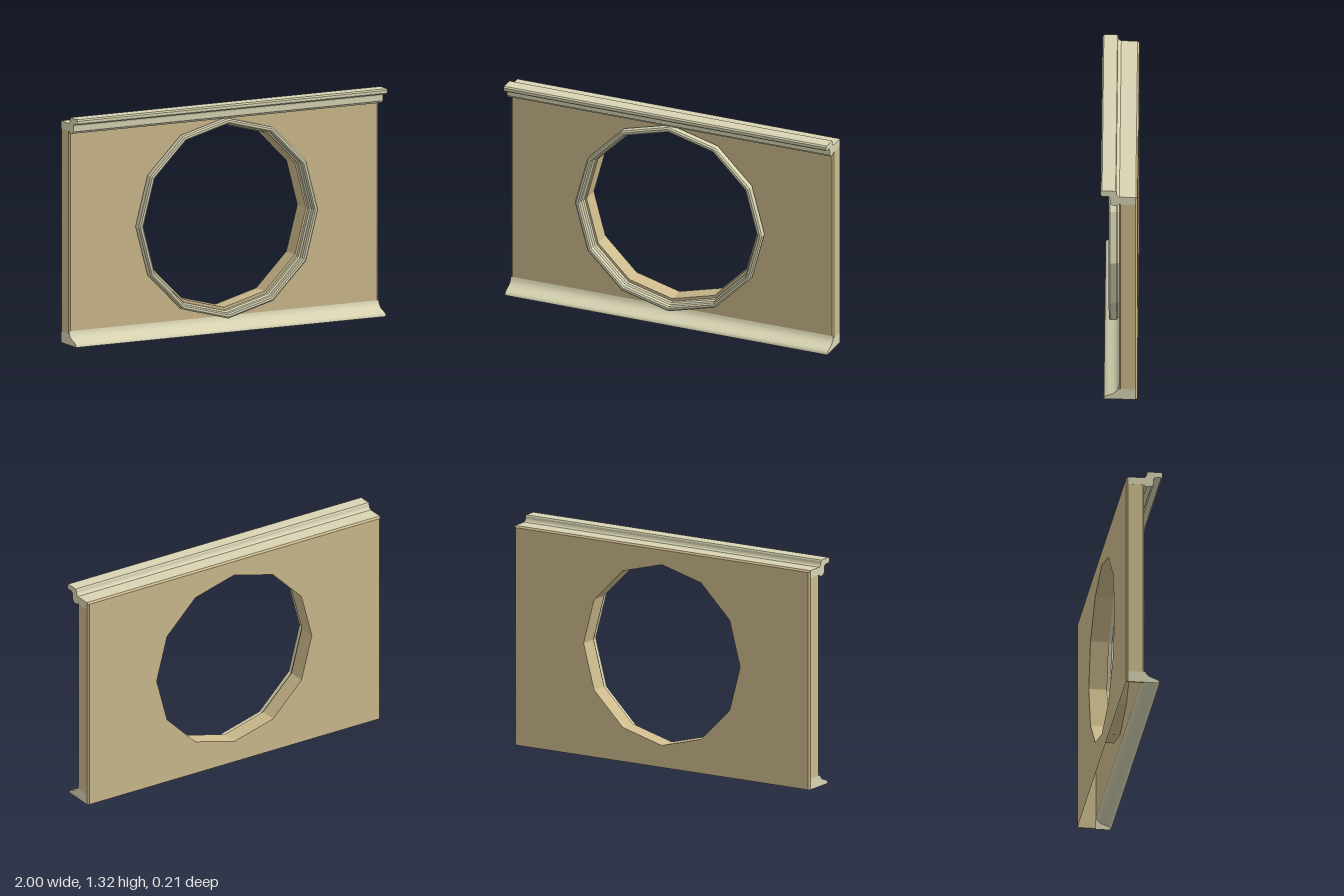
import * as THREE from 'three';

const tan = new THREE.MeshStandardMaterial({ color: 0xcdbb8d, side: THREE.DoubleSide, name: 'tanPlaster' });
const trim = new THREE.MeshStandardMaterial({ color: 0xd8d4b3, side: THREE.DoubleSide, name: 'creamTrim' });
const trimFlat = trim; // faceted parts get unshared vertices instead

const CENTER_Y = 0.655;
const BACK = -0.105;

const toShape = (pts) => new THREE.Shape(pts.map(([x, y]) => new THREE.Vector2(x, y)));

function add(group, name, geometry, material) {
  const mesh = new THREE.Mesh(geometry, material);
  mesh.name = name;
  group.add(mesh);
  return mesh;
}

// Extrudes a (z, y) profile across the whole width
function alongX(pts, width) {
  const g = new THREE.ExtrudeGeometry(toShape(pts), { depth: width, bevelEnabled: false });
  return g.translate(0, 0, -width / 2).rotateY(-Math.PI / 2);
}

// Flat wall face with a twelve-sided opening
function wallFace(y0, y1, radius) {
  const s = toShape([[-0.99, y0], [0.99, y0], [0.99, y1], [-0.99, y1]]);
  const hole = [];
  for (let i = 0; i < 12; i++) {
    const a = (i * Math.PI) / 6;
    hole.push(new THREE.Vector2(radius * Math.cos(a), CENTER_Y + 0.004 + radius * Math.sin(a)));
  }
  s.holes.push(new THREE.Path(hole));
  return new THREE.ShapeGeometry(s);
}

export function createModel() {
  const model = new THREE.Group();
  model.name = 'wallWithRoundOpening';

  // Hollow wall: front face, back face and the lining of the opening
  add(model, 'wallFront', wallFace(0.06, 1.245, 0.53), tan);
  add(model, 'wallBack', wallFace(0, 1.275, 0.53).rotateY(Math.PI).translate(0, 0, BACK), tan);
  const lining = new THREE.CylinderGeometry(0.53, 0.53, -BACK, 12, 1, true).toNonIndexed();
  lining.computeVertexNormals();
  lining.rotateX(Math.PI / 2).translate(0, CENTER_Y + 0.004, BACK / 2);
  add(model, 'openingLining', lining, tan);

  // Chamfered wall ends
  for (const s of [-1, 1]) {
    const pts = [[0.99, -BACK], [0.999, 0.095], [0.999, 0.008], [0.99, 0]].map(([x, y]) => [s * x, y]);
    const g = new THREE.ExtrudeGeometry(toShape(pts), { depth: 1.275, bevelEnabled: false });
    add(model, s > 0 ? 'leftWallEnd' : 'rightWallEnd', g.rotateX(-Math.PI / 2), tan);
  }
  add(model, 'backTopChamfer', alongX([[BACK, 1.275], [-0.095, 1.275], [-0.095, 1.285]], 1.996), tan);

  // Stepped cornice along the top
  add(model, 'cornice', alongX([
    [-0.095, 1.24], [-0.095, 1.285], [-0.002, 1.285], [0.008, 1.292], [0.013, 1.302], [0.015, 1.317],
    [0.02, 1.323], [0.097, 1.323], [0.105, 1.315], [0.105, 1.299], [0.097, 1.291], [0.067, 1.291],
    [0.057, 1.286], [0.053, 1.276], [0.053, 1.245], [0.045, 1.24], [0.04, 1.232], [0.013, 1.229],
    [0.004, 1.235], [0, 1.24],
  ], 2), trim);

  // Coved base, open underneath, with end plates
  const cove = [[0, 0.08], [0.004, 0.067], [0.012, 0.053], [0.028, 0.039], [0.055, 0.028],
    [0.076, 0.02], [0.086, 0.011], [0.088, 0]];
  const skirt = new THREE.PlaneGeometry(2, 1, 1, cove.length - 1);
  const p = skirt.attributes.position;
  for (let i = 0; i < p.count; i++) {
    const [z, y] = cove[Math.floor(i / 2)];
    p.setXYZ(i, p.getX(i), y, z);
  }
  skirt.computeVertexNormals();
  add(model, 'baseCove', skirt, trim);
  for (const s of [-1, 1]) {
    const g = new THREE.ShapeGeometry(toShape([...cove, [-0.095, 0], [-0.095, 0.062], [0, 0.066]]));
    g.rotateY(-Math.PI / 2);
    // Turn the left plate outward
    if (s > 0) {
      const ix = Array.from(g.index.array);
      g.setIndex(ix.reverse());
      g.computeVertexNormals();
    }
    add(model, s > 0 ? 'leftBaseEnd' : 'rightBaseEnd', g.translate(s, 0, 0), trim);
  }

  // Faceted frame around the opening
  const profile = [[0.568, 0], [0.57, 0.012], [0.58, 0.018], [0.58, 0.054], [0.571, 0.062], [0.558, 0.062],
    [0.55, 0.054], [0.55, 0.03], [0.541, 0.02], [0.541, 0]];
  const frame = new THREE.LatheGeometry(profile.map(([r, y]) => new THREE.Vector2(r, y)), 12).toNonIndexed();
  frame.computeVertexNormals();
  frame.rotateX(Math.PI / 2).translate(0, CENTER_Y - 0.002, 0);
  add(model, 'openingFrame', frame, trimFlat);

  return model;
}
